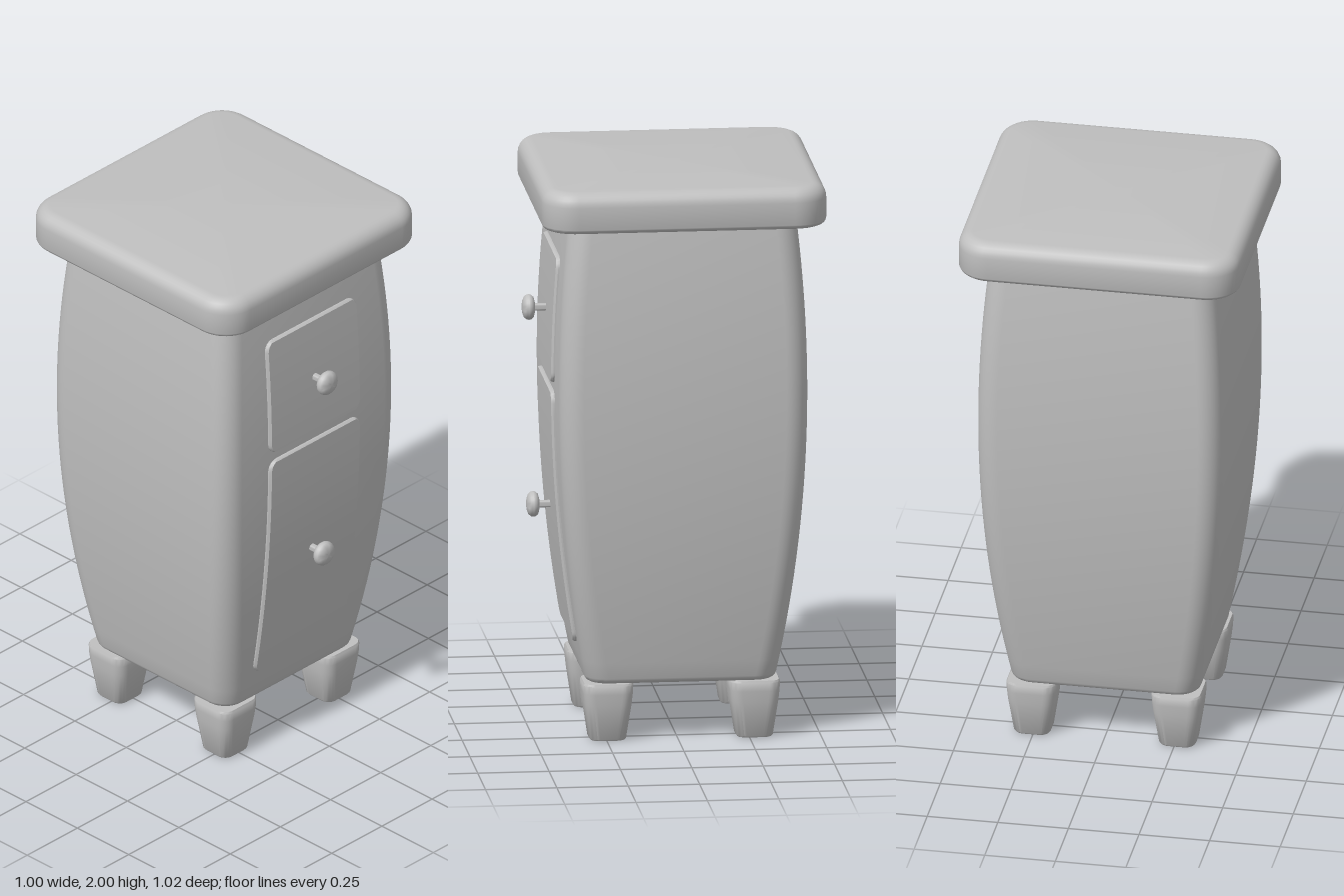
import * as THREE from 'three';
import { toCreasedNormals } from 'three/addons/utils/BufferGeometryUtils.js';

const CENTER_Z = -0.0125;

// Half width of the bulging cabinet at height y
const bulge = (y) => 0.435 - 0.094 * (y - 1.25) ** 2;

// Skin a stack of closed rings (counterclockwise from above) and cap both ends
function loft(rings, crease) {
  const n = rings[0].length;
  const points = rings.flat();
  const index = [];
  for (let i = 0; i < rings.length - 1; i++) {
    for (let j = 0; j < n; j++) {
      const a = i * n + j, b = i * n + (j + 1) % n;
      index.push(a, b, b + n, a, b + n, a + n);
    }
  }
  const last = (rings.length - 1) * n;
  for (const [start, top] of [[0, false], [last, true]]) {
    const c = new THREE.Vector3();
    for (let j = 0; j < n; j++) c.add(points[start + j]);
    const m = points.push(c.divideScalar(n)) - 1;
    for (let j = 0; j < n; j++) {
      const a = start + j, b = start + (j + 1) % n;
      index.push(...(top ? [m, a, b] : [m, b, a]));
    }
  }
  const geometry = new THREE.BufferGeometry().setFromPoints(points);
  geometry.setIndex(index);
  return toCreasedNormals(geometry, crease);
}

// Horizontal square ring with rounded corners
function roundedRing(y, half, radius, steps = 8) {
  const ring = [];
  for (let q = 0; q < 4; q++) {
    const mid = Math.PI / 4 + q * Math.PI / 2;
    const cx = Math.sign(Math.cos(mid)) * (half - radius);
    const cz = -Math.sign(Math.sin(mid)) * (half - radius);
    for (let s = 0; s <= steps; s++) {
      const t = (q + s / steps) * Math.PI / 2;
      ring.push(new THREE.Vector3(cx + radius * Math.cos(t), y, cz - radius * Math.sin(t)));
    }
  }
  return ring;
}

// Cabinet: bulging sides with a softened bottom edge
function bodyGeometry() {
  const rings = [];
  const bottom = 0.205, top = 1.87, r = 0.02;
  for (let i = 0; i < 4; i++) {
    const t = (i / 4) * Math.PI / 2;
    const y = bottom + r * (1 - Math.cos(t));
    const inset = r * (1 - Math.sin(t));
    rings.push(roundedRing(y, bulge(y) - inset, 0.08 - inset));
  }
  for (let i = 0; i <= 28; i++) {
    const y = bottom + r + (top - bottom - r) * i / 28;
    rings.push(roundedRing(y, bulge(y), 0.08));
  }
  return loft(rings, 0.7);
}

// Lid: small lower round, large upper round
function lidGeometry() {
  const rings = [];
  const half = 0.4985, corner = 0.12;
  const edge = (y, r, from, to) => {
    for (let i = 0; i <= 6; i++) {
      const t = THREE.MathUtils.lerp(from, to, i / 6);
      const inset = r * (1 - Math.cos(t));
      rings.push(roundedRing(y + r * Math.sin(t), half - inset, corner - inset, 10));
    }
  };
  edge(1.877, 0.022, -Math.PI / 2, 0);
  edge(1.95, 0.05, 0, Math.PI / 2);
  return loft(rings, 0.7);
}

// Front panel that follows the bulge, with rounded corners and a bevelled rim
function panelGeometry(y0, y1, half) {
  const r = 0.04, bevel = 0.006, raise = 0.013;
  const ends = [0, 0.002, 0.006, 0.012, 0.02, 0.03, 0.04];
  const rows = ends.map((d) => y0 + d);
  for (let i = 1; i < 16; i++) rows.push(THREE.MathUtils.lerp(y0 + r, y1 - r, i / 16));
  rows.push(...ends.map((d) => y1 - d).reverse());
  return loft(rows.map((y) => {
    const d = Math.min(y - y0, y1 - y, r);
    const w = half - r + Math.sqrt(Math.max(0, r * r - (r - d) ** 2));
    const face = CENTER_Z + bulge(y);
    const front = face + raise * Math.min(1, 0.4 + 0.6 * d / bevel);
    return [
      new THREE.Vector3(-w, y, face - 0.02),
      new THREE.Vector3(-w, y, face + raise * 0.4),
      new THREE.Vector3(-w + bevel, y, front),
      new THREE.Vector3(w - bevel, y, front),
      new THREE.Vector3(w, y, face + raise * 0.4),
      new THREE.Vector3(w, y, face - 0.02),
    ];
  }), 0.5);
}

// Knob: thin stem and flattened button, turned about its axis
function knobGeometry() {
  const profile = [[0.013, -0.03], [0.013, 0.05], [0.022, 0.051], [0.036, 0.055], [0.043, 0.063],
    [0.045, 0.071], [0.043, 0.08], [0.036, 0.088], [0.024, 0.093], [0.012, 0.095], [0, 0.0955]];
  const geometry = new THREE.LatheGeometry(profile.map(([x, y]) => new THREE.Vector2(x, y)), 24);
  return toCreasedNormals(geometry.rotateX(Math.PI / 2), 0.8);
}

// Foot: tapered block with rounded corners
function footGeometry() {
  const profile = [[0, 0.06, 0.032], [0.006, 0.065, 0.036], [0.13, 0.083, 0.04],
    [0.17, 0.087, 0.04], [0.2, 0.088, 0.04], [0.207, 0.084, 0.036]];
  return loft(profile.map(([y, half, r]) => roundedRing(y, half, r, 6)), 0.6);
}

export function createModel() {
  const model = new THREE.Group();
  model.name = 'bedsideCabinet';
  const grey = new THREE.MeshStandardMaterial({ color: 0xbfbfbf });
  grey.name = 'plain grey';

  const add = (name, geometry, x = 0, y = 0, z = 0) => {
    const mesh = new THREE.Mesh(geometry, grey);
    mesh.name = name;
    mesh.position.set(x, y, z);
    model.add(mesh);
  };

  add('body', bodyGeometry(), 0, 0, CENTER_Z);
  add('lid', lidGeometry(), 0, 0, CENTER_Z);
  add('drawerFront', panelGeometry(1.26, 1.71, 0.225));
  add('doorFront', panelGeometry(0.33, 1.23, 0.225));

  const knob = knobGeometry();
  for (const [name, y] of [['drawerKnob', 1.485], ['doorKnob', 0.78]]) {
    add(name, knob, 0, y, CENTER_Z + bulge(y) + 0.001);
  }

  const foot = footGeometry();
  for (const [side, x] of [['left', 1], ['right', -1]]) {
    for (const [end, z] of [['Front', 1], ['Back', -1]]) {
      add(`${side}${end}Foot`, foot, x * 0.257, 0, CENTER_Z + z * 0.257);
    }
  }
  return model;
}
